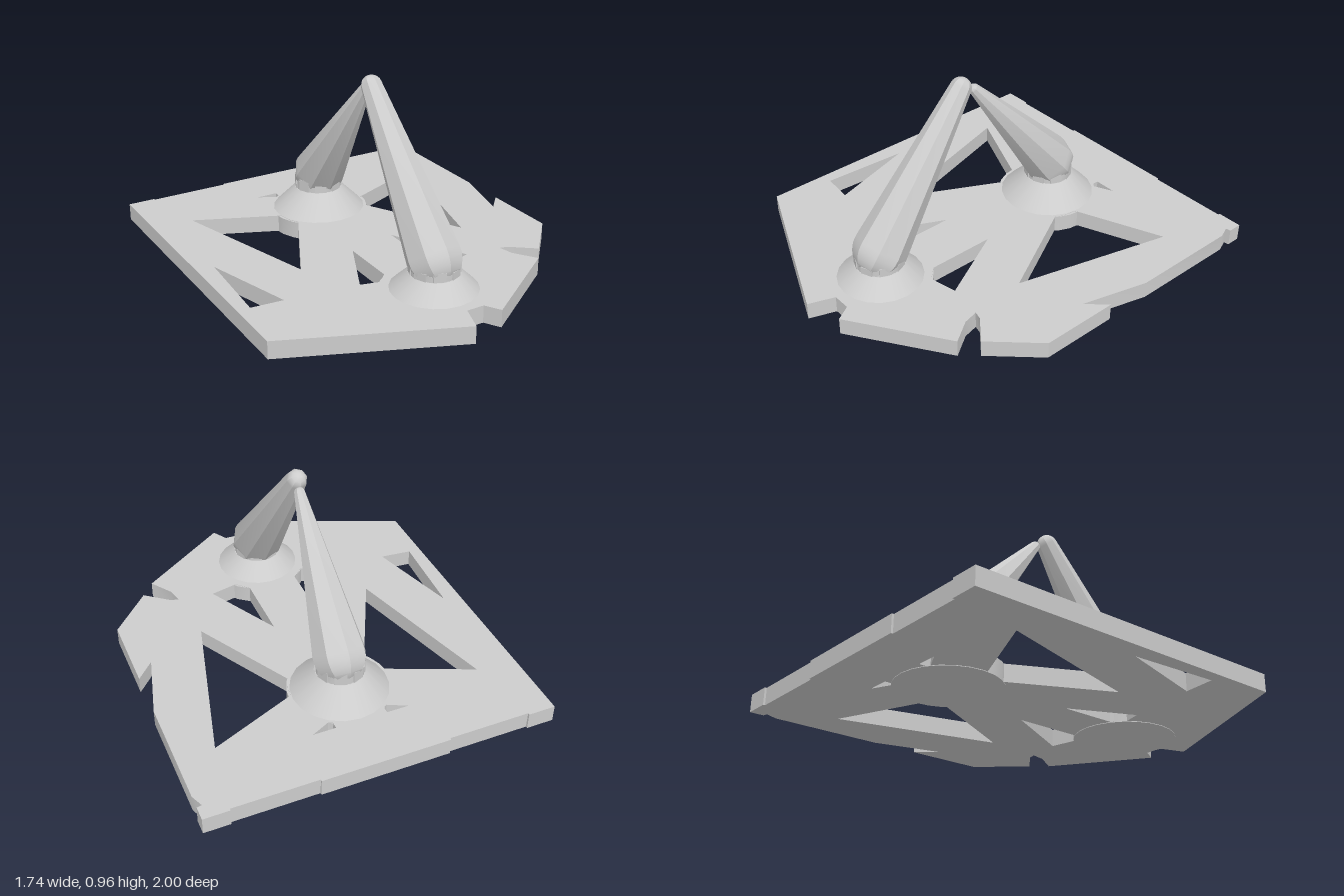
import * as THREE from 'three';
import { toCreasedNormals } from 'three/addons/utils/BufferGeometryUtils.js';

const grey = new THREE.MeshStandardMaterial({ color: 0xcccccc });
grey.name = 'plain grey';

function part(name, geometry) {
  const mesh = new THREE.Mesh(toCreasedNormals(geometry, 0.55), grey);
  mesh.name = name;
  return mesh;
}

// Points are [x, z]; the shape is drawn with z flipped, then laid flat.
const flat = (points) => points.map(([x, z]) => new THREE.Vector2(x, -z));

function basePlate() {
  // Outline runs counter-clockwise so the hole walls face into the holes.
  const shape = new THREE.Shape(flat([
    [-0.868, -1], [-0.868, 0.65], [-0.045, 1], [0, 0.87], [0.09, 0.87],
    [0.135, 0.945], [0.597, 0.63], [0.522, 0.52], [0.505, 0.445],
    [0.545, 0.455], [0.665, 0.55], [0.868, 0.33], [0.868, -0.065],
    [0.78, 0.03], [0.868, -0.305], [0.868, -0.865], [0.843, -0.925],
    [0.868, -0.93], [0.868, -1], [0.74, -1], [0.74, -0.99], [0.32, -0.99],
    [0.32, -1], [-0.32, -1], [-0.32, -0.99], [-0.73, -0.99], [-0.73, -1],
  ]));
  const holes = [
    [[-0.662, -0.635], [-0.44, 0.145], [-0.2, -0.335], [-0.225, -0.38], [-0.24, -0.452]],
    [[0.682, -0.635], [0.48, 0.155], [0.21, -0.34], [0.23, -0.38], [0.24, -0.452]],
    [[-0.78, -0.09], [-0.805, 0.355], [-0.645, 0.37]],
    [[-0.13, 0.1], [-0.28, 0.42], [-0.185, 0.445], [-0.13, 0.39]],
    [[0.127, 0.045], [0.325, 0.42], [0.185, 0.45], [0.127, 0.39]],
    [[-0.24, -0.73], [-0.13, -0.73], [-0.13, -0.695], [-0.15, -0.685]],
    [[0.245, -0.73], [0.13, -0.73], [0.13, -0.695], [0.15, -0.685]],
  ];
  for (const hole of holes) shape.holes.push(new THREE.Path(flat(hole)));
  const geometry = new THREE.ExtrudeGeometry(shape, { depth: 0.087, bevelEnabled: false });
  geometry.rotateX(-Math.PI / 2);
  geometry.translate(0, 0.003, 0);
  return part('basePlate', geometry);
}

// Eight-sided tapered spike with a rounded cap at each end.
function spike(name, bottom, bottomRadius, tip, tipRadius) {
  const axis = new THREE.Vector3().subVectors(tip, bottom);
  const length = axis.length();
  const slope = Math.asin((bottomRadius - tipRadius) / length);
  const profile = [];
  const arc = (centre, radius, from, to) => {
    for (let i = 0; i <= 6; i++) {
      const a = from + ((to - from) * i) / 6;
      profile.push(new THREE.Vector2(Math.max(0, radius * Math.cos(a)), centre + radius * Math.sin(a)));
    }
  };
  arc(0, bottomRadius, -Math.PI / 2, slope);
  arc(length, tipRadius, slope, Math.PI / 2);
  const mesh = part(name, new THREE.LatheGeometry(profile, 8));
  mesh.position.copy(bottom);
  mesh.quaternion.setFromUnitVectors(new THREE.Vector3(0, 1, 0), axis.normalize());
  return mesh;
}

// Conical foot on a round boss, with a collar and uneven teeth gripping the spike.
function foot(name, z, radius, top, collarTop) {
  const group = new THREE.Group();
  group.name = name;
  const disc = (label, topRadius, bottomRadius, from, to, sides) => {
    const mesh = part(label, new THREE.CylinderGeometry(topRadius, bottomRadius, to - from, sides));
    mesh.position.y = (from + to) / 2;
    group.add(mesh);
  };
  const height = collarTop - top;
  disc('boss', 0.255, 0.255, 0, 0.088, 24);
  disc('footCone', 0.124, radius, 0.088, top, 20);
  disc('collar', 0.12, 0.12, top, top + height * 0.65, 16);
  for (let i = 0; i < 8; i++) {
    const a = ((i + 0.5) * Math.PI) / 4;
    const h = height * (i % 2 ? 1.05 : 0.85);
    const tooth = part('collarTooth', new THREE.BoxGeometry(0.06, h, 0.03));
    tooth.position.set(Math.sin(a) * 0.105, top + h / 2, Math.cos(a) * 0.105);
    tooth.rotation.y = a;
    group.add(tooth);
  }
  group.position.z = z;
  return group;
}

export function createModel() {
  const model = new THREE.Group();
  model.name = 'leaningSpikes';
  const v = (x, y, z) => new THREE.Vector3(x, y, z);
  model.add(
    basePlate(),
    foot('frontFoot', 0.612, 0.212, 0.172, 0.215),
    foot('backFoot', -0.48, 0.242, 0.205, 0.275),
    spike('frontSpike', v(0, 0.235, 0.605), 0.133, v(-0.018, 0.913, 0.09), 0.052),
    spike('backSpike', v(0.003, 0.285, -0.475), 0.133, v(-0.005, 0.885, 0.02), 0.027),
  );
  return model;
}
